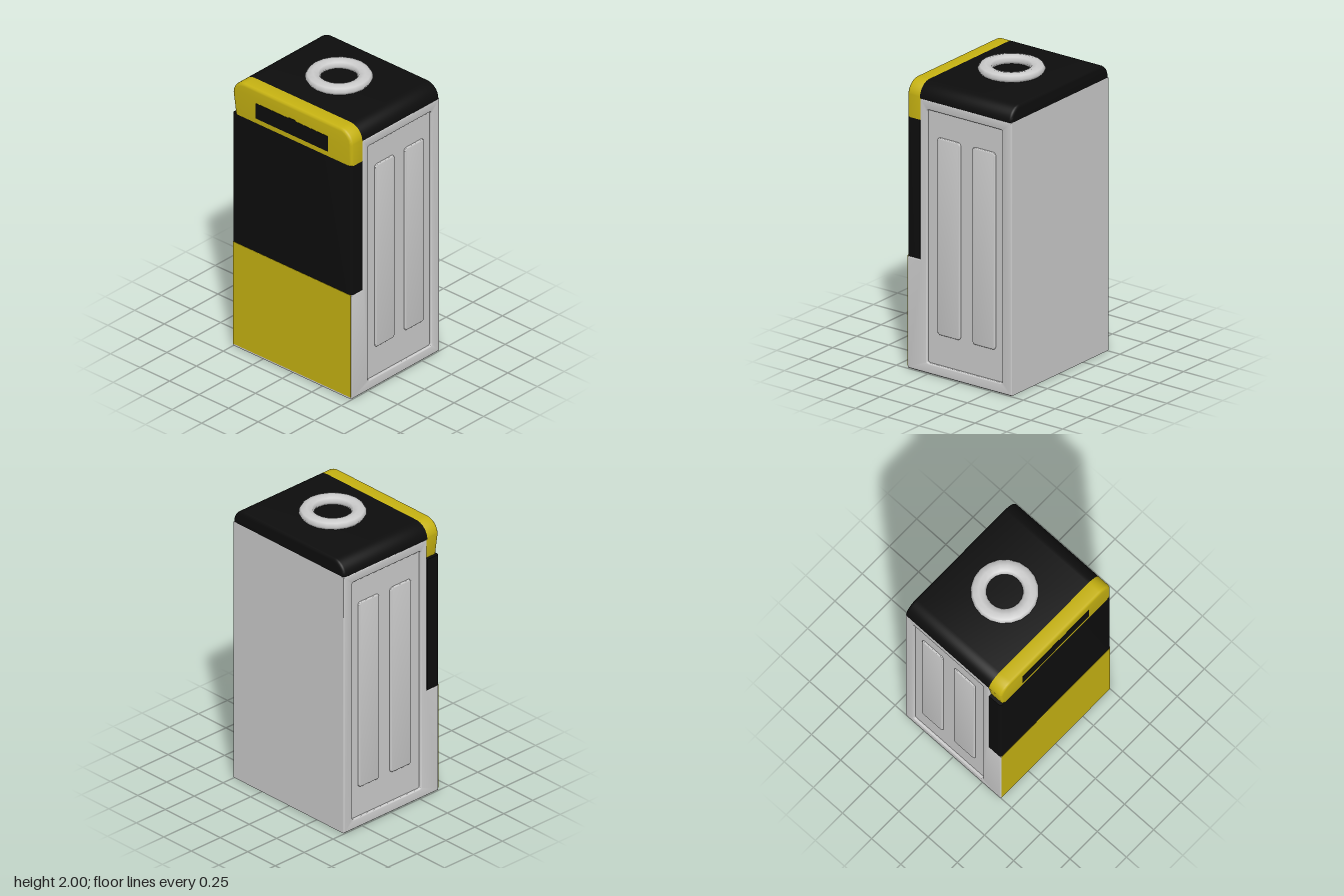
import * as THREE from 'three';
import { toCreasedNormals } from 'three/addons/utils/BufferGeometryUtils.js';

const grey = new THREE.MeshStandardMaterial({ color: 0xcccccc });
const yellow = new THREE.MeshStandardMaterial({ color: 0xc6b212 });
const black = new THREE.MeshStandardMaterial({ color: 0x0d0d0d });

const W = 0.505, BACK = -0.41, SEAM = 0.31, FRONT = 0.41;

// Rounded rectangle as a Shape or a hole Path
function roundRect(x0, y0, x1, y1, r, Type = THREE.Shape) {
  const s = new Type();
  s.moveTo(x0 + r, y0);
  s.lineTo(x1 - r, y0);
  s.quadraticCurveTo(x1, y0, x1, y0 + r);
  s.lineTo(x1, y1 - r);
  s.quadraticCurveTo(x1, y1, x1 - r, y1);
  s.lineTo(x0 + r, y1);
  s.quadraticCurveTo(x0, y1, x0, y1 - r);
  s.lineTo(x0, y0 + r);
  s.quadraticCurveTo(x0, y0, x0 + r, y0);
  return s;
}

// Extrusion centred on z, whose total depth and outline include the bevel
function slab(shape, depth, bevel) {
  const geo = new THREE.ExtrudeGeometry(shape, {
    depth: depth - 2 * bevel, curveSegments: 8,
    bevelEnabled: bevel > 0, bevelThickness: bevel, bevelSize: bevel, bevelOffset: -bevel, bevelSegments: 3,
  });
  geo.translate(0, 0, bevel - depth / 2);
  return toCreasedNormals(geo, 0.6);
}

// Side outline (z, y): full depth low down, stepped back behind the front panels
function sideOutline() {
  const s = new THREE.Shape();
  s.moveTo(BACK, 0.005);
  s.lineTo(FRONT, 0.005);
  s.lineTo(FRONT, 0.76);
  s.lineTo(SEAM, 0.76);
  s.lineTo(SEAM, 1.84);
  s.lineTo(BACK, 1.84);
  s.closePath();
  return s;
}

// Front outline (x, y) of the rounded top, its lower edge tucked inwards below y0
function topOutline(y0) {
  const r = 0.1, top = 1.94, s = new THREE.Shape();
  s.moveTo(-W + 0.025, y0 - 0.02);
  s.lineTo(W - 0.025, y0 - 0.02);
  s.lineTo(W, y0);
  s.lineTo(W, top - r);
  s.absarc(W - r, top - r, r, 0, Math.PI / 2, false);
  s.lineTo(-W + r, top);
  s.absarc(-W + r, top - r, r, Math.PI / 2, Math.PI, false);
  s.closePath();
  return s;
}

export function createModel() {
  const model = new THREE.Group();
  const add = (parent, name, geo, mat, x = 0, y = 0, z = 0) => {
    const mesh = new THREE.Mesh(geo, mat);
    mesh.name = name;
    mesh.position.set(x, y, z);
    parent.add(mesh);
    return mesh;
  };

  // Cabinet core, running from side to side
  add(model, 'cabinetCore', slab(sideOutline(), 0.976, 0).rotateY(-Math.PI / 2), grey);

  // Side panels: a frame around a recess with two raised pads
  const frame = sideOutline();
  frame.holes.push(roundRect(-0.335, 0.075, 0.255, 1.775, 0.015, THREE.Path));
  const frameGeo = slab(frame, 0.035, 0.01).rotateY(-Math.PI / 2);
  const padGeo = slab(roundRect(-0.09, 0.28, 0.09, 1.605, 0.025), 0.03, 0.01).rotateY(-Math.PI / 2);
  for (const side of [1, -1]) {
    const panel = new THREE.Group();
    panel.name = side > 0 ? 'leftSidePanel' : 'rightSidePanel';
    add(panel, 'sideFrame', frameGeo, grey, side * (W - 0.0175));
    for (const z of [0.09, -0.185]) add(panel, 'raisedPad', padGeo, grey, side * 0.485, 0, z);
    model.add(panel);
  }

  // Lid and front header meet at the seam, each bevel hidden in the other
  const b = 0.02;
  add(model, 'lid', slab(topOutline(1.84), SEAM + b - BACK, b), black, 0, 0, (SEAM + b + BACK) / 2);
  add(model, 'frontHeader', slab(topOutline(1.695), FRONT - SEAM + b, b), yellow, 0, 0, (FRONT + SEAM - b) / 2);

  // Dark grip strip in the header, with a small tab on its upper edge
  add(model, 'gripStrip', new THREE.BoxGeometry(0.61, 0.11, 0.01), black, 0, 1.784, FRONT - 0.003);
  add(model, 'gripTab', new THREE.BoxGeometry(0.06, 0.012, 0.01), black, 0, 1.84, FRONT - 0.003);

  // Middle front panel, rounded on its two vertical front edges
  const r = 0.02, plan = new THREE.Shape();
  plan.moveTo(-W, -SEAM);
  plan.lineTo(-W, -FRONT + r);
  plan.quadraticCurveTo(-W, -FRONT, -W + r, -FRONT);
  plan.lineTo(W - r, -FRONT);
  plan.quadraticCurveTo(W, -FRONT, W, -FRONT + r);
  plan.lineTo(W, -SEAM);
  plan.closePath();
  add(model, 'middleFrontPanel', slab(plan, 0.935, 0).rotateX(-Math.PI / 2), black, 0, 0.76 + 0.4675, 0);

  // Lower front panel
  add(model, 'lowerFrontPanel', new THREE.BoxGeometry(0.995, 0.742, 0.01), yellow, 0, 0.389, FRONT - 0.003);

  // Base plate
  add(model, 'basePlate', new THREE.BoxGeometry(0.98, 0.02, 0.79), grey, 0, 0.01, 0);

  // Ring on the lid
  const ringGeo = new THREE.TorusGeometry(0.165, 0.05, 8, 20).rotateX(Math.PI / 2).scale(1, 0.64, 1);
  add(model, 'topRing', ringGeo, grey, 0, 1.968, -0.028);

  return model;
}
